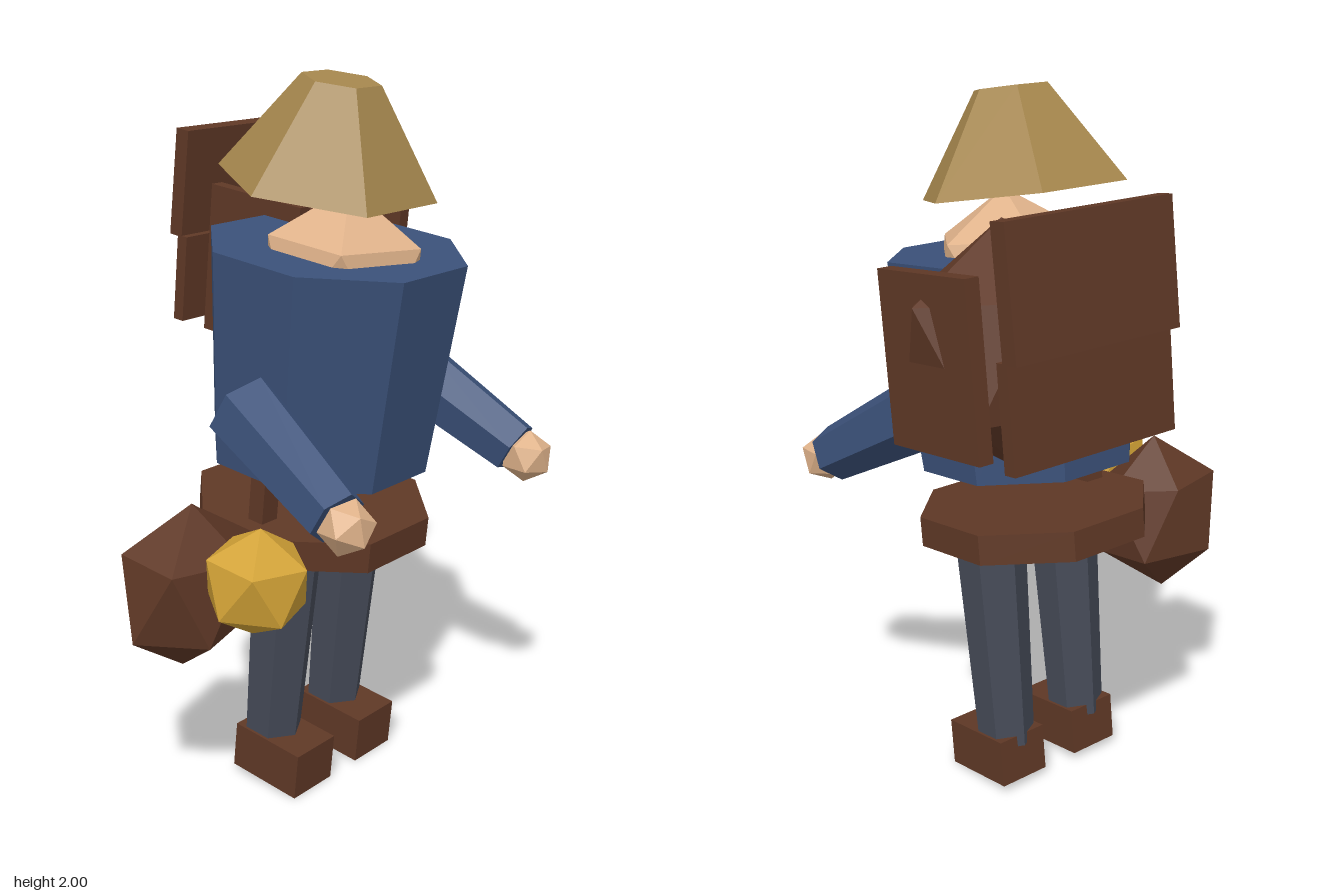
import * as THREE from 'three';
import { ConvexGeometry } from 'three/addons/geometries/ConvexGeometry.js';

const LEAN = 0.1; // the whole figure leans slightly forward

const material = (name, color) => {
  const m = new THREE.MeshStandardMaterial({ color, flatShading: true });
  m.name = name;
  return m;
};

// Faceted ball: an icosahedron standing on one corner
function facetedBall(rx, ry = rx, rz = rx) {
  const points = [new THREE.Vector3(0, ry, 0), new THREE.Vector3(0, -ry, 0)];
  const ring = 2 / Math.sqrt(5), level = 1 / Math.sqrt(5);
  for (let i = 0; i < 5; i++) {
    const a = (i * 2 * Math.PI) / 5;
    const x = Math.cos(a) * ring, z = Math.sin(a) * ring;
    points.push(new THREE.Vector3(x * rx, level * ry, z * rz));
    points.push(new THREE.Vector3(-x * rx, -level * ry, z * rz));
  }
  return new ConvexGeometry(points);
}

const prism = (top, bottom, height, sides, turn = 0) =>
  new THREE.CylinderGeometry(top, bottom, height, sides, 1, false, turn);

export function createModel() {
  const model = new THREE.Group();
  model.name = 'traveller';

  const brown = material('brown leather', 0x5f3826);
  const blue = material('blue coat', 0x3b5179);
  const grey = material('grey trousers', 0x454a57);
  const skin = material('skin', 0xdfb28a);
  const straw = material('straw', 0xa5864d);
  const gold = material('gold', 0xd2a236);

  const add = (name, geometry, mat, position, lean = LEAN) => {
    const mesh = new THREE.Mesh(geometry, mat);
    mesh.name = name;
    mesh.position.set(...position);
    mesh.rotation.x = lean;
    model.add(mesh);
    return mesh;
  };

  // Body
  add('torso', prism(0.357, 0.309, 0.59, 8, Math.PI / 8), blue, [0.012, 1.26, 0.102]);
  add('belt', prism(0.338, 0.338, 0.085, 8, Math.PI / 8), brown, [0.007, 0.793, 0.053]);
  add('head', facetedBall(0.234), skin, [0.007, 1.48, 0.157]);
  add('hat', prism(0.105, 0.295, 0.274, 6, Math.PI / 6), straw, [0.006, 1.85, 0.126], 0.172);

  // Legs and shoes
  for (const side of [-1, 1]) {
    const x = 0.008 + side * 0.138;
    const label = side > 0 ? 'left' : 'right';
    add(label + 'Leg', prism(0.102, 0.082, 0.66, 6), grey, [x, 0.45, 0.058]);
    add(label + 'Shoe', new THREE.BoxGeometry(0.16, 0.138, 0.235), brown, [x, 0.081, 0.067]);
  }

  // Arms reach forward and down, each ending in a faceted hand
  const arms = [
    ['left', [0.345, 1.165, 0.11], [0.41, 0.96, 0.465], [0.413, 0.943, 0.502]],
    ['right', [-0.33, 1.175, 0.11], [-0.395, 0.985, 0.475], [-0.399, 0.972, 0.508]],
  ];
  for (const [label, from, to, hand] of arms) {
    const a = new THREE.Vector3(...from), b = new THREE.Vector3(...to);
    const along = a.clone().sub(b);
    const middle = a.clone().add(b).multiplyScalar(0.5);
    const arm = add(label + 'Arm', prism(0.105, 0.08, along.length(), 6), blue, middle.toArray());
    arm.quaternion.setFromUnitVectors(new THREE.Vector3(0, 1, 0), along.normalize());
    add(label + 'Hand', facetedBall(0.074), skin, hand).quaternion.copy(arm.quaternion);
  }

  // Things hanging from the belt
  add('strap', new THREE.BoxGeometry(0.06, 0.32, 0.05), brown, [-0.225, 0.84, 0.077]);
  add('pouch', facetedBall(0.215, 0.24, 0.177), brown, [-0.447, 0.69, 0.005]);
  add('lantern', facetedBall(0.149), gold, [-0.455, 0.778, 0.263]);

  // Pack behind the left shoulder: a bundle between boards
  add('packBundle', facetedBall(0.318, 0.315, 0.265), brown, [0.346, 1.42, -0.25]);
  for (const x of [0.113, 0.583]) {
    add('packSideBoard', new THREE.BoxGeometry(0.041, 0.437, 0.338), brown, [x, 1.42, -0.253]);
  }
  add('packUpperBoard', new THREE.BoxGeometry(0.511, 0.317, 0.048), brown, [0.348, 1.643, -0.534], 0.12);
  add('packLowerBoard', new THREE.BoxGeometry(0.511, 0.26, 0.037), brown, [0.348, 1.357, -0.539]);

  return model;
}
